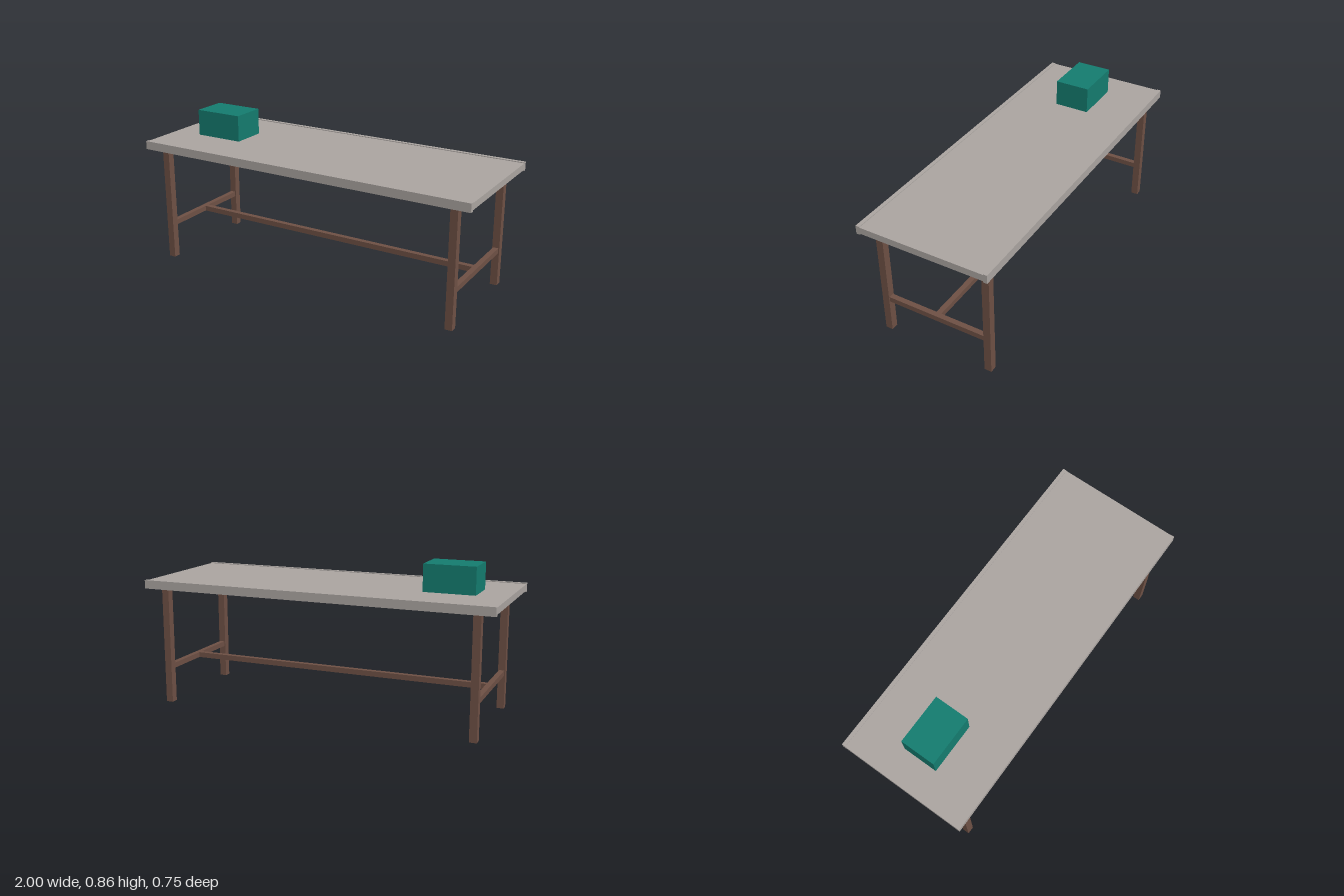
import * as THREE from 'three';

export function createModel() {
  const group = new THREE.Group();
  const material = (name, color) => {
    const m = new THREE.MeshStandardMaterial({ color });
    m.name = name;
    return m;
  };
  const stone = material('warm grey', 0xaca6a2);
  const wood = material('brown', 0x6f5145);
  const teal = material('teal', 0x147d70);

  // Box given by its size, centre x and z, and its bottom height
  const addBox = (name, mat, [w, h, d], x, bottom, z) => {
    const mesh = new THREE.Mesh(new THREE.BoxGeometry(w, h, d), mat);
    mesh.name = name;
    mesh.position.set(x, bottom + h / 2, z);
    group.add(mesh);
  };

  const legX = 0.897, legZ = 0.309, legSize = 0.041;
  const topBottom = 0.673, topHeight = 0.037;

  // Table top with a raised, dropped rim along each long edge
  addBox('tableTop', stone, [2, topHeight, 0.706], 0, topBottom, 0);
  for (const s of [-1, 1])
    addBox(s > 0 ? 'frontRim' : 'backRim', stone, [2, 0.048, 0.022], 0, 0.666, s * 0.364);

  // Legs, with a cross rail joining each end pair
  for (const sx of [-1, 1]) {
    const side = sx > 0 ? 'left' : 'right';
    for (const sz of [-1, 1])
      addBox(side + (sz > 0 ? 'FrontLeg' : 'BackLeg'), wood,
        [legSize, topBottom, legSize], sx * legX, 0, sz * legZ);
    addBox(side + 'CrossRail', wood, [0.03, 0.03, 2 * legZ - legSize], sx * legX, 0.193, 0);
  }

  // Long stretcher between the cross rails
  addBox('longStretcher', wood, [2 * legX - 0.03, 0.03, 0.03], 0, 0.193, 0);

  // Box standing on the table
  addBox('tableBox', teal, [0.285, 0.15, 0.2], -0.687, topBottom + topHeight, 0);

  return group;
}
